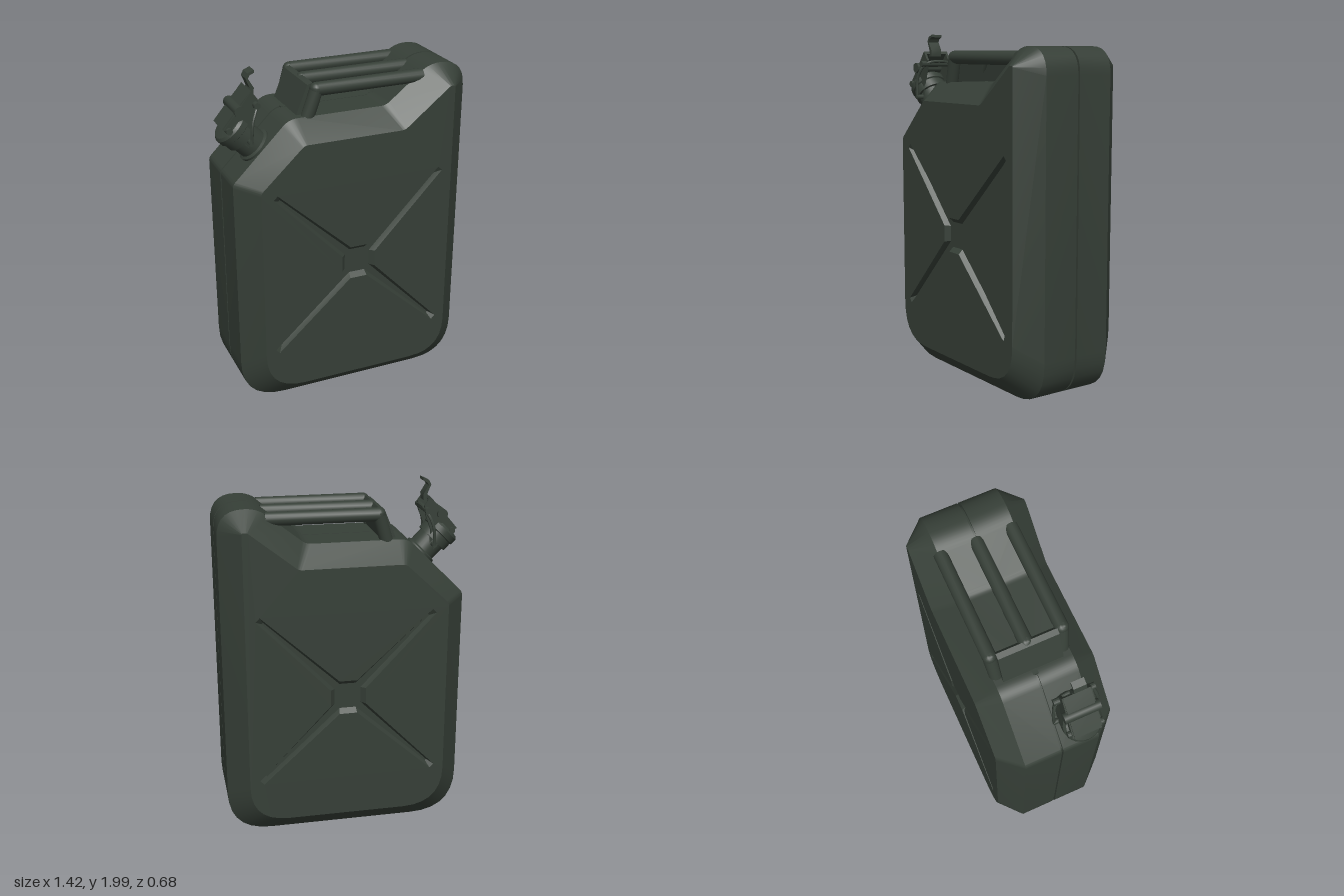
import * as THREE from 'three';
import { toCreasedNormals } from 'three/addons/utils/BufferGeometryUtils.js';

const paint = new THREE.MeshStandardMaterial({ color: 0x363f37, side: THREE.DoubleSide });
paint.name = 'dark olive paint';

const V2 = (x, y) => new THREE.Vector2(x, y);
const V3 = (x, y, z) => new THREE.Vector3(x, y, z);

// Closed outline from corners [x, y, cut]; each corner becomes a short curve
function rounded(corners, n = 7) {
  const out = [];
  corners.forEach(([x, y, cut], i) => {
    const c = V2(x, y);
    const prev = corners[(i + corners.length - 1) % corners.length];
    const next = corners[(i + 1) % corners.length];
    const a = V2(prev[0], prev[1]).sub(c).setLength(cut).add(c);
    const b = V2(next[0], next[1]).sub(c).setLength(cut).add(c);
    out.push(...new THREE.QuadraticBezierCurve(a, c, b).getPoints(n));
  });
  return out;
}

// Skin between matching closed loops, each given as [points, z]
function loft(loops) {
  const pos = [], idx = [], n = loops[0][0].length;
  loops.forEach(([pts, z]) => pts.forEach(p => pos.push(p.x, p.y, z)));
  for (let k = 0; k < loops.length - 1; k++) {
    for (let i = 0; i < n; i++) {
      const j = (i + 1) % n, a = k * n, b = a + n;
      idx.push(a + i, b + i, b + j, a + i, b + j, a + j);
    }
  }
  const g = new THREE.BufferGeometry();
  g.setAttribute('position', new THREE.Float32BufferAttribute(pos, 3));
  g.setIndex(idx);
  return g;
}

function mirrorZ(geo) {
  const g = geo.clone().scale(1, 1, -1);
  const ix = g.index;
  for (let i = 0; i < ix.count; i += 3) {
    const t = ix.getX(i);
    ix.setX(i, ix.getX(i + 2));
    ix.setX(i + 2, t);
  }
  return g;
}

function add(parent, name, geo, crease = 0.6) {
  const mesh = new THREE.Mesh(toCreasedNormals(geo, crease), paint);
  mesh.name = name;
  parent.add(mesh);
  return mesh;
}

// Round rod between two points
function rod(parent, name, a, b, r, sides = 16) {
  const d = b.clone().sub(a);
  const m = add(parent, name, new THREE.CylinderGeometry(r, r, d.length(), sides));
  m.position.copy(a).add(b).multiplyScalar(0.5);
  m.quaternion.setFromUnitVectors(V3(0, 1, 0), d.normalize());
  return m;
}

// Flat side profile extruded across z
function slab(parent, name, pts, z, width) {
  const shape = new THREE.Shape(pts.map(p => V2(...p)));
  const g = new THREE.ExtrudeGeometry(shape, { depth: width, bevelEnabled: false });
  return add(parent, name, g.translate(0, 0, z - width / 2));
}

// Four-armed pressing outline
function cross(root, rootHalf, shorten, tipHalf) {
  const c = V2(0.03, 0.86), out = [];
  [[0.53, 1.35], [-0.46, 1.34], [-0.47, 0.38], [0.53, 0.37]].forEach(t => {
    const d = V2(...t).sub(c), len = d.length() - shorten;
    d.normalize();
    const p = V2(-d.y, d.x);
    [[root, -rootHalf], [len, -tipHalf], [len, tipHalf], [root, rootHalf]].forEach(([l, w]) =>
      out.push(c.clone().addScaledVector(d, l).addScaledVector(p, w)));
  });
  return out;
}

export function createModel() {
  const model = new THREE.Group();
  model.name = 'fuelCan';

  // Can body: two mirrored shells with a bevelled rim and a centre seam
  const rim = rounded([[-0.655, 0.008, 0.27], [0.72, 0.008, 0.25], [0.72, 1.93, 0.15],
    [0.5, 1.93, 0.065], [0.24, 1.725, 0.03], [-0.33, 1.725, 0.05], [-0.655, 1.4, 0.02]]);
  const face = rounded([[-0.54, 0.125, 0.24], [0.6, 0.125, 0.22], [0.6, 1.83, 0.008],
    [0.57, 1.83, 0.008], [0.3, 1.615, 0.02], [-0.29, 1.615, 0.02], [-0.54, 1.38, 0.02]]);
  const seam = rim.map(p => V2(0.03 + (p.x - 0.03) * 0.98, 0.95 + (p.y - 0.95) * 0.986));
  const pressTop = cross(0.105, 0.036, 0, 0.016);
  const pressFloor = cross(0.085, 0.02, 0.04, 0.005);
  const panel = new THREE.Shape(face);
  panel.holes.push(new THREE.Path(pressTop));
  const parts = {
    Shell: loft([[face, 0.34], [rim, 0.215], [rim, 0.006], [seam, 0.006], [seam, 0]]),
    Panel: new THREE.ShapeGeometry(panel).translate(0, 0, 0.34),
    PressingWall: loft([[pressFloor, 0.312], [pressTop, 0.34]]),
    PressingFloor: new THREE.ShapeGeometry(new THREE.Shape(pressFloor)).translate(0, 0, 0.312),
  };
  for (const [name, geo] of Object.entries(parts)) {
    add(model, 'front' + name, geo);
    add(model, 'back' + name, mirrorZ(geo));
  }
  // Plain strip closing the seam below the handles
  slab(model, 'handleBase', [[-0.3, 1.69], [0.24, 1.69], [0.47, 1.87], [0.45, 1.888],
    [0.24, 1.727], [-0.3, 1.727]], 0, 0.03);

  // Three carrying handles joined by a sloping end wall
  const handles = new THREE.Group();
  handles.name = 'handles';
  model.add(handles);
  for (const z of [-0.2, 0, 0.2]) {
    const foot = V3(z ? -0.215 : -0.235, 1.71, z * 0.94), bend = V3(-0.165, 1.867, z);
    rod(handles, 'handleLeg', foot, bend, 0.037);
    rod(handles, 'handleBar', bend, V3(0.46, 1.867, z), 0.038);
    add(handles, 'handleBend', new THREE.SphereGeometry(0.038, 16, 12)).position.copy(bend);
  }
  slab(handles, 'handleEndWall', [[-0.275, 1.715], [-0.185, 1.715], [-0.145, 1.84],
    [-0.175, 1.895], [-0.205, 1.885]], 0, 0.34);

  // Angled spout and cap
  const spout = new THREE.Group();
  spout.name = 'spout';
  spout.position.set(-0.49, 1.565, 0.11);
  spout.rotation.z = Math.PI / 4;
  model.add(spout);
  const profile = pts => new THREE.LatheGeometry(pts.map(p => V2(...p)), 28);
  add(spout, 'neck', profile([[0.1, -0.03], [0.1, 0.012], [0.085, 0.02], [0.085, 0.13]]));
  add(spout, 'cap', profile([[0.08, 0.1], [0.1, 0.1], [0.1, 0.15], [0.108, 0.155],
    [0.108, 0.19], [0.095, 0.205], [0.05, 0.215], [0, 0.215]]));

  // Locking lever over the cap
  const latch = new THREE.Group();
  latch.name = 'latch';
  model.add(latch);
  for (const z of [0.035, 0.185]) {
    slab(latch, 'latchCheek', [[-0.68, 1.71], [-0.6, 1.64], [-0.55, 1.59], [-0.525, 1.62],
      [-0.53, 1.71], [-0.5, 1.79], [-0.49, 1.85], [-0.525, 1.9], [-0.58, 1.83]], z, 0.014);
  }
  slab(latch, 'leverPlate', [[-0.69, 1.71], [-0.675, 1.7], [-0.57, 1.82], [-0.515, 1.885],
    [-0.525, 1.9], [-0.585, 1.835]], 0.11, 0.15);
  slab(latch, 'thumbHook', [[-0.535, 1.87], [-0.5, 1.87], [-0.498, 1.905], [-0.528, 1.955],
    [-0.52, 1.972], [-0.493, 1.985], [-0.495, 2], [-0.53, 1.985], [-0.543, 1.96],
    [-0.52, 1.905]], 0.12, 0.07);
  [[-0.595, 1.8, 0.03, 0.2], [-0.505, 1.825, 0.018, 0.23], [-0.545, 1.625, 0.014, 0.25],
    [-0.655, 1.7, 0.018, 0.2]].forEach(([x, y, r, w]) =>
    rod(latch, 'pivotPin', V3(x, y, 0.11 - w / 2), V3(x, y, 0.11 + w / 2), r, 14));
  // Wire bail around the neck
  const bail = new THREE.CatmullRomCurve3([V3(-0.545, 1.625, -0.01), V3(-0.535, 1.74, -0.012),
    V3(-0.5, 1.82, 0.02), V3(-0.49, 1.84, 0.11), V3(-0.5, 1.82, 0.2), V3(-0.535, 1.74, 0.232),
    V3(-0.545, 1.625, 0.23)]);
  add(latch, 'wireBail', new THREE.TubeGeometry(bail, 36, 0.009, 8));

  return model;
}
